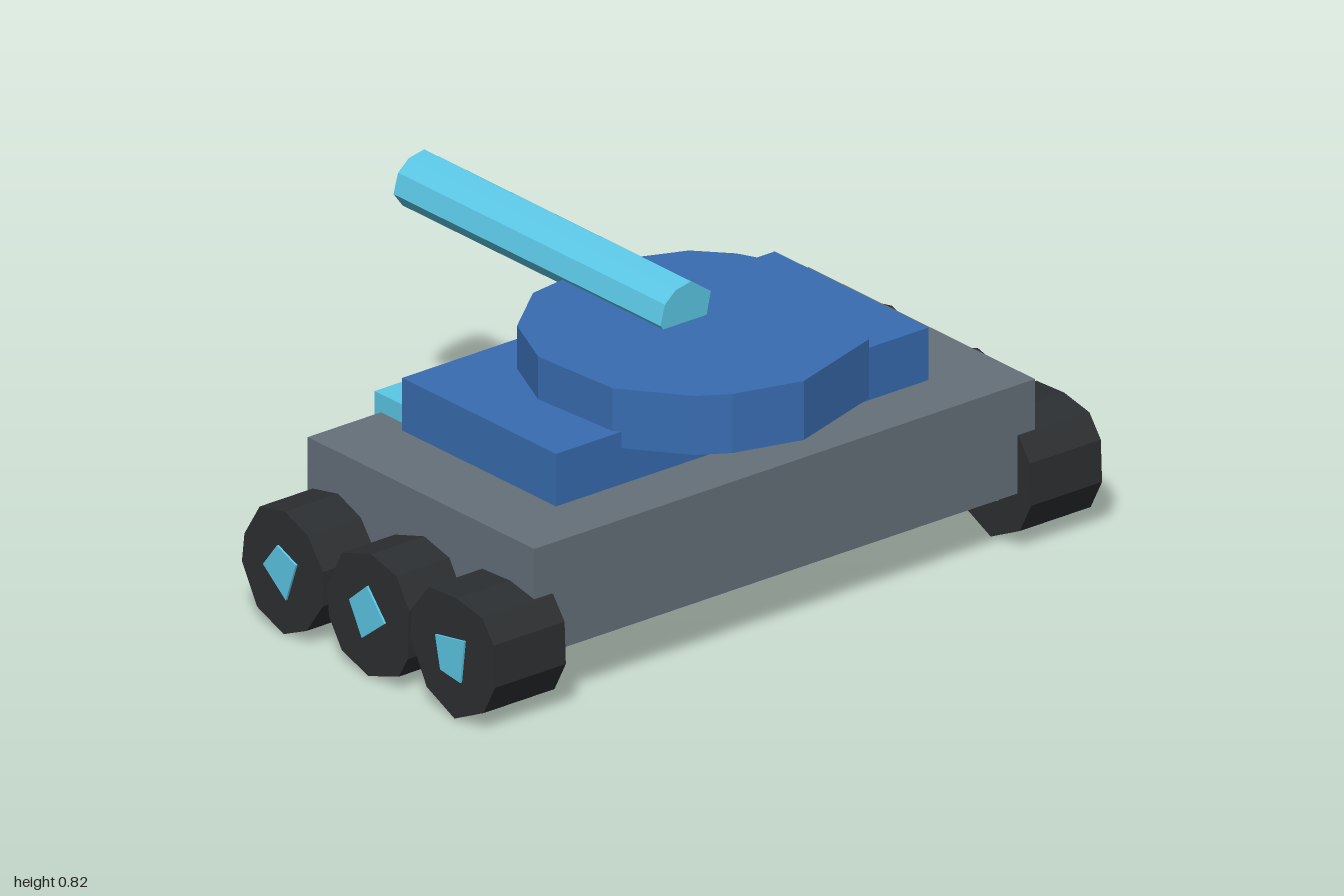
import * as THREE from 'three';

const paint = (color) => new THREE.MeshStandardMaterial({ color, flatShading: true });

export function createModel() {
  const group = new THREE.Group();
  const grey = paint(0x65707a), blue = paint(0x386cb0), cyan = paint(0x5bc8e6), black = paint(0x2c2f31);

  const add = (name, geometry, material) => {
    const mesh = new THREE.Mesh(geometry, material);
    mesh.name = name;
    group.add(mesh);
    return mesh;
  };

  // Box between two corners
  const box = (name, [x0, y0, z0], [x1, y1, z1], material) =>
    add(name, new THREE.BoxGeometry(x1 - x0, y1 - y0, z1 - z0), material)
      .position.set((x0 + x1) / 2, (y0 + y1) / 2, (z0 + z1) / 2);

  // Straight prism along +z from a 2D outline
  const prism = (outline, depth) => new THREE.ExtrudeGeometry(
    new THREE.Shape(outline.map(([x, y]) => new THREE.Vector2(x, y))), { depth, bevelEnabled: false });

  // Prism along x from an outline of (z, y) points
  const sidePrism = (outline, x0, x1) =>
    prism(outline.map(([z, y]) => [-z, y]), x1 - x0).rotateY(Math.PI / 2).translate(x0, 0, 0);

  // Hull
  box('chassis', [-0.82, 0.155, -0.22], [0.82, 0.455, 0.675], grey);
  box('upperDeck', [-0.61, 0.45, -0.1], [0.61, 0.6, 0.508], blue);
  box('rearBar', [-0.58, 0.35, -0.245], [0.58, 0.505, -0.09], cyan);

  // Turret, outline in (x, z)
  const turret = [[-0.01, 0.763], [0.28, 0.67], [0.38, 0.49], [0.43, 0.36], [0.43, 0.2], [0.36, 0.05], [0.28, -0.04],
    [0.07, -0.127], [-0.19, -0.09], [-0.35, 0.04], [-0.43, 0.22], [-0.41, 0.49], [-0.28, 0.66], [-0.2, 0.71]];
  add('turret', prism(turret.map(([x, z]) => [x, -z]), 0.163).rotateX(-Math.PI / 2).translate(0, 0.555, 0), blue);

  // Gun barrel, outline in (x, y), pointing backwards
  const barrel = [[-0.04, 0.815], [0.01, 0.825], [0.075, 0.78], [0.055, 0.69],
    [0, 0.665], [-0.06, 0.69], [-0.09, 0.73], [-0.075, 0.785]];
  add('gunBarrel', prism(barrel, 1.055).translate(0, 0, -0.762), cyan);

  // Rough-cut wheels with hubs running through them, outlines in (z, y)
  const wheels = [
    { name: 'front',
      tyre: [[0.58, 0.335], [0.47, 0.33], [0.4, 0.245], [0.395, 0.17], [0.46, 0.05],
        [0.57, 0], [0.685, 0.055], [0.73, 0.14], [0.725, 0.255], [0.68, 0.315]],
      hub: [[0.615, 0.23], [0.5, 0.21], [0.52, 0.12], [0.6, 0.11]] },
    { name: 'middle',
      tyre: [[0.24, 0.34], [0.125, 0.305], [0.065, 0.19], [0.075, 0.11], [0.125, 0.035],
        [0.23, 0], [0.35, 0.04], [0.385, 0.1], [0.39, 0.235], [0.34, 0.315]],
      hub: [[0.23, 0.25], [0.16, 0.19], [0.21, 0.1], [0.3, 0.17]] },
    { name: 'rear',
      tyre: [[-0.1, 0.34], [-0.2, 0.32], [-0.26, 0.225], [-0.27, 0.145], [-0.21, 0.04],
        [-0.105, 0], [-0.015, 0.04], [0.05, 0.13], [0.05, 0.225], [-0.01, 0.305]],
      hub: [[-0.125, 0.24], [-0.18, 0.17], [-0.09, 0.1], [-0.05, 0.21]] },
  ];
  for (const { name, tyre, hub } of wheels) {
    for (const [side, s] of [['Left', 1], ['Right', -1]]) {
      const span = (a, b) => (s > 0 ? [a, b] : [-b, -a]);
      add(`${name}${side}Wheel`, sidePrism(tyre, ...span(0.762, 0.994)), black);
      add(`${name}${side}Hub`, sidePrism(hub, ...span(0.757, 1)), cyan);
    }
  }
  return group;
}
